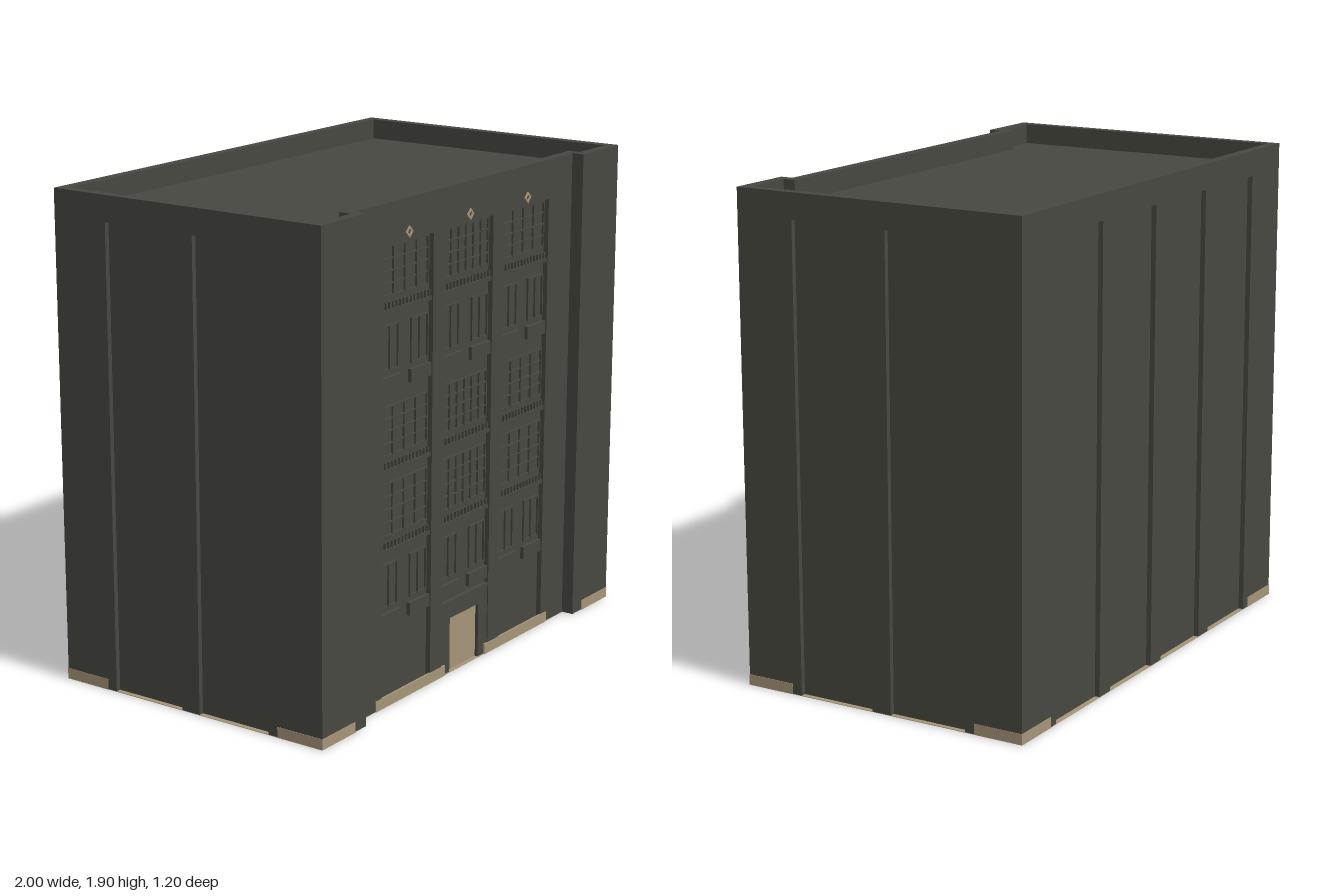
import * as THREE from 'three';

export function createModel() {
  const building = new THREE.Group();
  building.name = 'building';
  const stone = new THREE.MeshStandardMaterial({ color: 0x484841 });
  stone.name = 'dark stone';
  const tan = new THREE.MeshStandardMaterial({ color: 0xa69578 });
  tan.name = 'tan plaster';

  const add = (name, geometry, material = stone, parent = building) => {
    const mesh = new THREE.Mesh(geometry, material);
    mesh.name = name;
    parent.add(mesh);
    return mesh;
  };
  // Box given by its lower and upper limits on each axis
  const box = (name, x0, x1, y0, y1, z0, z1, material, parent) => {
    const mesh = add(name, new THREE.BoxGeometry(x1 - x0, y1 - y0, z1 - z0), material, parent);
    mesh.position.set((x0 + x1) / 2, (y0 + y1) / 2, (z0 + z1) / 2);
    return mesh;
  };
  const polygon = (points) => new THREE.Shape(points.map(([x, y]) => new THREE.Vector2(x, y)));
  const extrude = (shape, depth) => new THREE.ExtrudeGeometry(shape, { depth, bevelEnabled: false });

  const FLOOR = 0.002, ROOF = 1.82, TOP = 1.9, SKIN = 0.02;

  // Wall skin with tall panels cut out from the ground up
  const wallSkin = (half, panels, panelTop) => {
    const points = [[-half, FLOOR]];
    for (const [a, b] of panels) points.push([a, FLOOR], [a, panelTop], [b, panelTop], [b, FLOOR]);
    points.push([half, FLOOR], [half, ROOF], [-half, ROOF]);
    return extrude(polygon(points), SKIN);
  };

  // Plan outline: back corners square, front set back between two piers
  const plan = (w, back, front, recess, pier) => [
    [-w, -back], [w, -back], [w, front], [pier, front],
    [pier, recess], [-pier, recess], [-pier, front], [-w, front],
  ];
  // Plan extruded upwards; shape y becomes z
  const slab = (shape, y0, y1) => {
    const g = extrude(shape, y1 - y0);
    g.rotateX(Math.PI / 2);
    g.translate(0, y1, 0);
    return g;
  };

  // Main body, wall skins and front piers
  box('core', -0.98, 0.98, FLOOR, ROOF, -0.58, 0.53);
  const bays = [[-0.56, -0.24], [-0.163, 0.163], [0.24, 0.56]];
  add('frontWall', wallSkin(0.98, bays, 1.745)).position.z = 0.53;
  const backPanels = [[-0.76, -0.44], [-0.36, -0.04], [0.04, 0.36], [0.44, 0.76]];
  const backWall = add('backWall', wallSkin(1, backPanels, 1.8));
  backWall.rotation.y = Math.PI;
  backWall.position.z = -0.58;
  for (const s of [-1, 1]) {
    const wall = add('sideWall', wallSkin(0.58, [[-0.36, -0.04], [0.04, 0.36]], 1.8));
    wall.rotation.y = s * Math.PI / 2;
    wall.position.x = s * 0.98;
    const [a, b] = s > 0 ? [0.73, 1] : [-1, -0.73];
    box('frontPier', a, b, FLOOR, ROOF, 0.53, 0.6);
  }

  // Parapet around the roof
  const parapet = polygon(plan(1, 0.6, 0.6, 0.55, 0.73));
  parapet.holes.push(new THREE.Path(polygon(plan(0.96, 0.56, 0.56, 0.51, 0.77)).getPoints()));
  add('parapet', slab(parapet, ROOF, TOP));

  // Tan underside and plinth plates
  add('underside', slab(polygon(plan(1, 0.6, 0.6, 0.55, 0.8)), 0, FLOOR), tan);
  const plinth = 0.042, t = 0.0015;
  for (const s of [-1, 1]) {
    const span = (a, b) => (s > 0 ? [a, b] : [-b, -a]);
    box('cornerPlinth', ...span(0.8, 1 + t), 0, plinth, 0.598, 0.6 + t, tan);
    box('cornerPlinth', ...span(0.8, 1 + t), 0, plinth, -0.6 - t, -0.598, tan);
    box('cornerPlinth', ...span(0.998, 1 + t), 0, plinth, 0.4, 0.6 + t, tan);
    box('cornerPlinth', ...span(0.998, 1 + t), 0, plinth, -0.6 - t, -0.4, tan);
    box('frontPlinth', ...span(0.14, 0.6), 0, plinth, 0.545, 0.553, tan);
  }

  // Window with evenly spaced bars
  const barWindow = (parent, x0, x1, y0, y1, columns, rows) => {
    const r = 0.003;
    for (let i = 0; i <= columns; i++) {
      const x = x0 + r + ((x1 - x0 - 2 * r) * i) / columns;
      box('windowMullion', x - r, x + r, y0, y1, 0.529, 0.538, stone, parent);
    }
    for (let j = 0; j <= rows; j++) {
      const y = y0 + r + ((y1 - y0 - 2 * r) * j) / rows;
      box('windowBar', x0, x1, y - r, y + r, 0.529, 0.537, stone, parent);
    }
  };

  // Bay contents: balcony windows with balusters, paired windows with sills
  bays.forEach(([a, b], bayIndex) => {
    const bay = new THREE.Group();
    bay.name = 'windowBay';
    building.add(bay);
    for (const [ledge, head] of [[0.61, 0.86], [0.915, 1.15], [1.51, 1.74]]) {
      box('ledge', a, b, ledge - 0.015, ledge, 0.529, 0.545, stone, bay);
      for (let i = 0; i < 14; i++) {
        const x = a + ((b - a) * (i + 0.5)) / 14;
        box('baluster', x - 0.004, x + 0.004, ledge, ledge + 0.025, 0.535, 0.543, stone, bay);
      }
      barWindow(bay, a + 0.01, b - 0.01, ledge + 0.045, head, bayIndex === 1 ? 6 : 4, 4);
    }
    for (const sill of [0.31, 1.21]) {
      for (const [x0, x1] of [[a, a + 0.13], [b - 0.13, b]]) {
        box('sill', x0, x1, sill, sill + 0.05, 0.529, 0.545, stone, bay);
        barWindow(bay, x0 + 0.01, x1 - 0.01, sill + 0.07, sill + 0.24, 2, 1);
      }
    }
  });

  // Entrance: surround, lintel and door
  const surround = polygon([
    [-0.163, FLOOR], [-0.1, FLOOR], [-0.1, 0.22], [0.1, 0.22],
    [0.1, FLOOR], [0.163, FLOOR], [0.163, 0.28], [-0.163, 0.28],
  ]);
  add('doorSurround', extrude(surround, 0.016)).position.z = 0.53;
  box('doorLintel', -0.163, 0.163, 0.28, 0.29, 0.529, 0.549);
  box('door', -0.1, 0.1, FLOOR, 0.22, 0.529, 0.533, tan);

  // Diamond ornaments above the bays
  for (const x of [-0.4, 0, 0.4]) {
    const r = 0.022, q = 0.012;
    const frame = polygon([[r, 0], [0, r], [-r, 0], [0, -r]]);
    frame.holes.push(new THREE.Path(polygon([[q, 0], [0, q], [-q, 0], [0, -q]]).getPoints()));
    add('diamondOrnament', extrude(frame, 0.006), tan).position.set(x, 1.775, 0.549);
  }
  return building;
}
